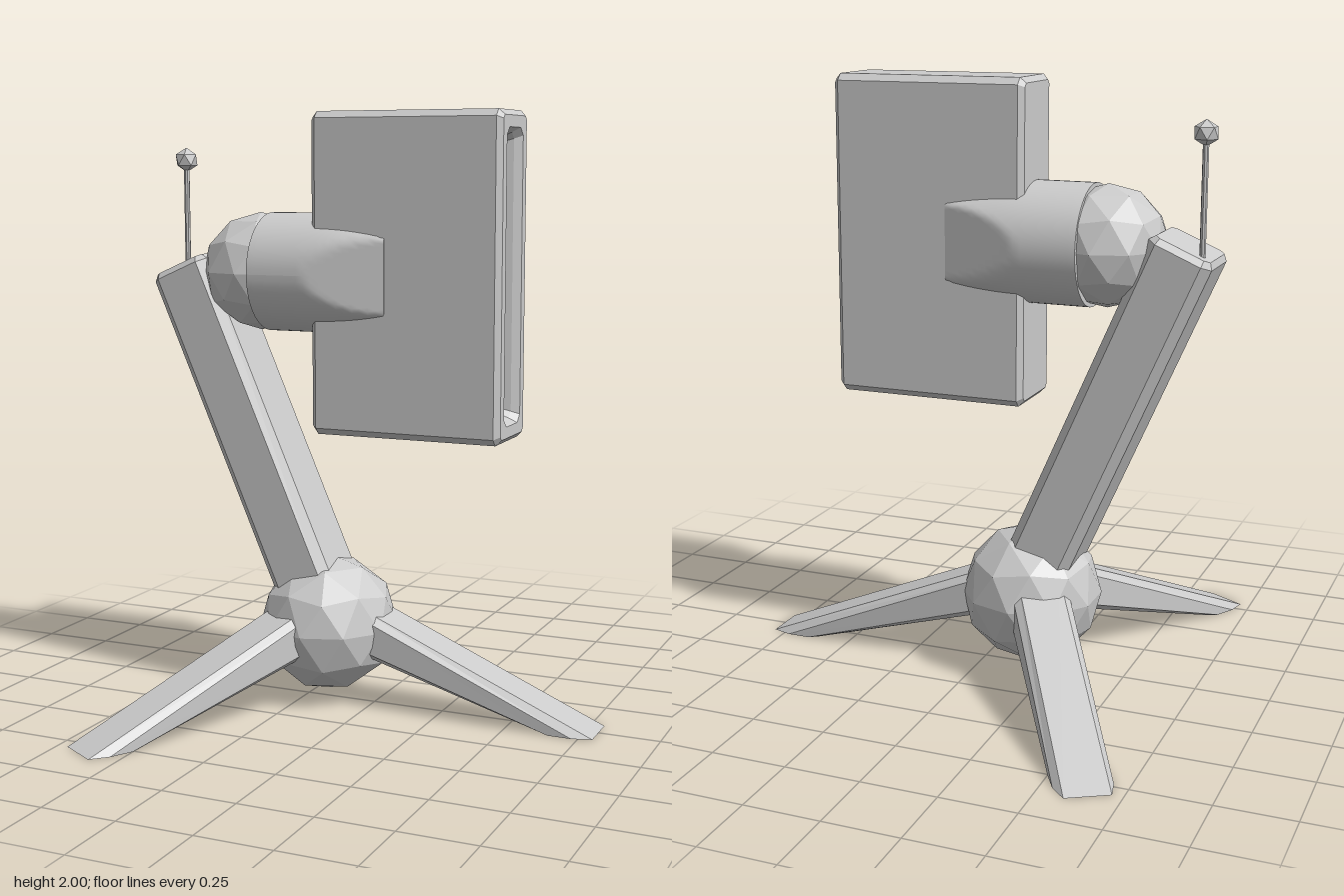
import * as THREE from 'three';

const material = new THREE.MeshStandardMaterial({ color: 0xcccccc });
const flatMaterial = new THREE.MeshStandardMaterial({ color: 0xcccccc, flatShading: true });

function part(name, geometry, mat = flatMaterial) {
  const mesh = new THREE.Mesh(geometry, mat);
  mesh.name = name;
  return mesh;
}

// Rectangle with cut corners, across the x axis
function ring(x, hy, hz, cut, cy = 0) {
  const a = hy - cut, b = hz - cut;
  return [[hy, -b], [hy, b], [a, hz], [-a, hz], [-hy, b], [-hy, -b], [-a, -hz], [a, -hz]]
    .map(([y, z]) => [x, cy + y, z]);
}

// Skin over a row of rings, closed at both ends
function loft(rings) {
  const pos = [];
  const tri = (a, b, c) => pos.push(...a, ...b, ...c);
  const n = rings[0].length;
  for (let i = 0; i < rings.length - 1; i++) {
    for (let j = 0; j < n; j++) {
      const k = (j + 1) % n;
      tri(rings[i][j], rings[i][k], rings[i + 1][k]);
      tri(rings[i][j], rings[i + 1][k], rings[i + 1][j]);
    }
  }
  const first = rings[0], last = rings[rings.length - 1];
  for (let j = 1; j < n - 1; j++) {
    tri(first[0], first[j + 1], first[j]);
    tri(last[0], last[j], last[j + 1]);
  }
  const geometry = new THREE.BufferGeometry();
  geometry.setAttribute('position', new THREE.Float32BufferAttribute(pos, 3));
  geometry.computeVertexNormals();
  return geometry;
}

// Faceted ball with a corner pointing straight up
function ball(name, radius, detail, x, y, z) {
  const geometry = new THREE.IcosahedronGeometry(radius, detail);
  geometry.rotateX(-Math.atan((1 + Math.sqrt(5)) / 2));
  geometry.rotateY(Math.PI / 2);
  const mesh = part(name, geometry);
  mesh.position.set(x, y, z);
  return mesh;
}

// Leg reaching along +x, cut off flat by the ground
function legGeometry() {
  const root = ring(0.1, 0.083, 0.095, 0.024, 0.283);
  const foot = [
    [0.965, 0, -0.072], [0.965, 0, 0.072], [0.9, 0, 0.092], [0.82, 0, 0.092],
    [0.79, 0, 0.072], [0.79, 0, -0.072], [0.82, 0, -0.092], [0.9, 0, -0.092],
  ];
  return loft([root, foot]);
}

// Round collar whose sides flatten towards each other as it grips the head
function collarGeometry() {
  const start = -0.375, bend = -0.17, end = 0.09;
  const geometry = new THREE.CylinderGeometry(0.2, 0.2, end - start, 64, 18);
  geometry.rotateZ(-Math.PI / 2);
  geometry.translate((start + end) / 2, 0, 0);
  const p = geometry.attributes.position;
  for (let i = 0; i < p.count; i++) {
    const t = Math.max(0, (p.getX(i) - bend) / (end - bend));
    const limit = 0.2 - 0.066 * t;
    p.setZ(i, THREE.MathUtils.clamp(p.getZ(i), -limit, limit));
    p.setY(i, p.getY(i) * (1 - 0.17 * t * t));
  }
  geometry.computeVertexNormals();
  return geometry;
}

export function createModel() {
  const model = new THREE.Group();
  model.name = 'deskStand';

  // Base ball and three legs
  model.add(ball('baseBall', 0.237, 1, -0.17, 0.267, 0));
  const leg = legGeometry();
  for (let i = 0; i < 3; i++) {
    const mesh = part('leg', leg);
    mesh.position.x = -0.17;
    mesh.rotation.y = (i * Math.PI * 2) / 3;
    model.add(mesh);
  }

  // Leaning arm
  const arm = part('arm', loft([
    ring(-1.2, 0.11, 0.125, 0.03),
    ring(-0.02, 0.11, 0.125, 0.03),
    ring(0, 0.095, 0.107, 0.018),
  ]));
  arm.position.set(-0.69, 1.49, 0);
  arm.rotation.z = THREE.MathUtils.degToRad(113.5);
  model.add(arm);

  // Upper joint and collar
  model.add(ball('jointBall', 0.2, 1, -0.42, 1.47, 0));
  const collar = part('collar', collarGeometry(), material);
  collar.position.y = 1.47;
  model.add(collar);

  // Head with a long recess in its end
  const head = part('head', loft([
    ring(-0.175, 0.512, 0.112, 0.012),
    ring(-0.157, 0.53, 0.13, 0.022),
    ring(0.467, 0.53, 0.13, 0.022),
    ring(0.485, 0.512, 0.112, 0.012),
    ring(0.485, 0.475, 0.078, 0.025),
    ring(0.46, 0.46, 0.06, 0.02),
    ring(0.4, 0.435, 0.042, 0.012),
  ]));
  head.position.y = 1.47;
  model.add(head);

  // Antenna with a small knob
  const rod = part('antennaRod', new THREE.CylinderGeometry(0.01, 0.01, 0.4, 8));
  rod.position.set(-0.745, 1.63, -0.065);
  model.add(rod, ball('antennaKnob', 0.042, 0, -0.745, 1.845, -0.065));

  return model;
}
